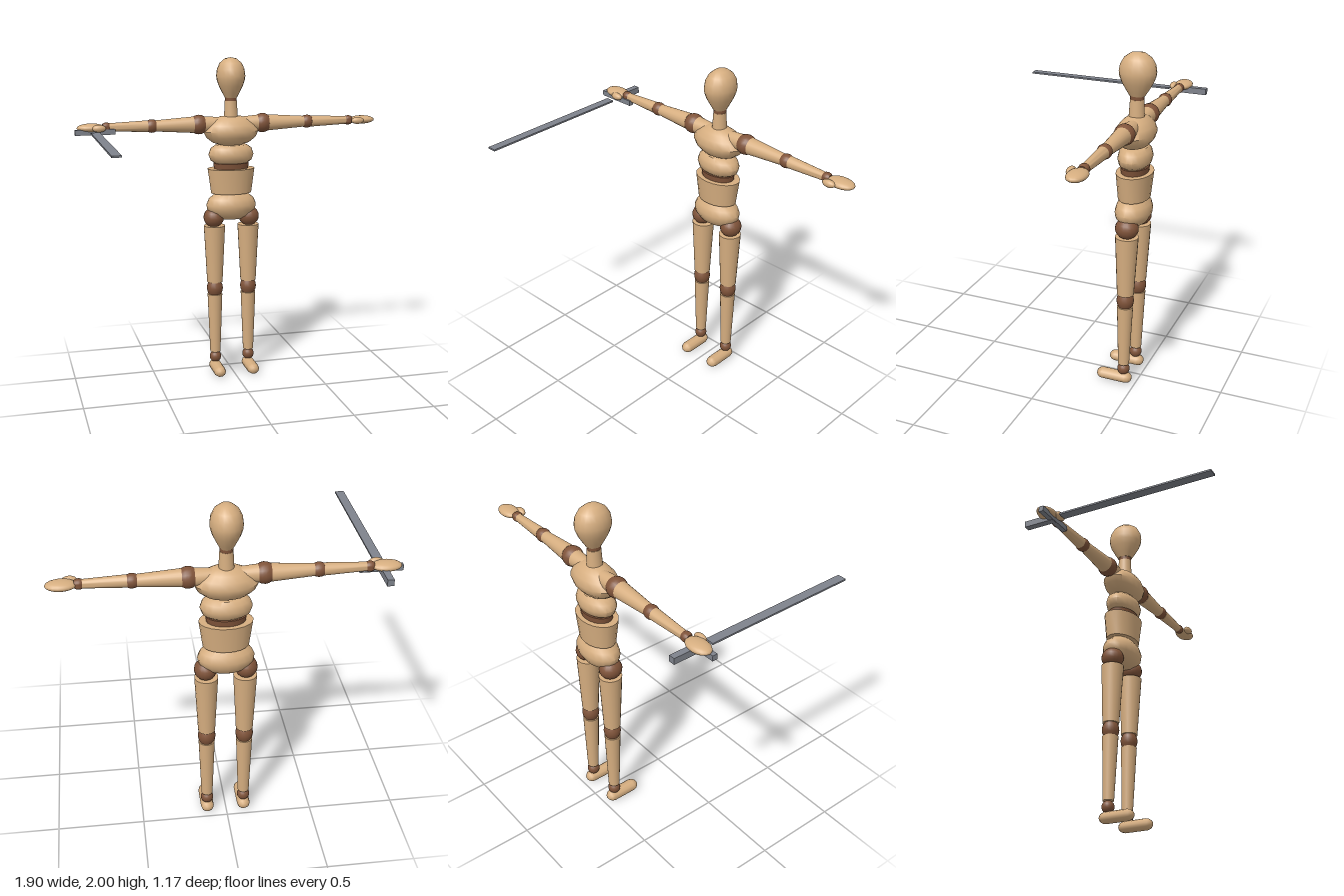
import * as THREE from 'three';
import { toCreasedNormals } from 'three/addons/utils/BufferGeometryUtils.js';

const wood = new THREE.MeshStandardMaterial({ color: 0xd6ae80 });
wood.name = 'light wood';
const joint = new THREE.MeshStandardMaterial({ color: 0x80543a });
joint.name = 'dark wood';
const steel = new THREE.MeshStandardMaterial({ color: 0x7f838c });
steel.name = 'grey steel';

// Turned piece: [radius, height] pairs from bottom to top, depth squashes it in z
function turned(name, material, profile, depth = 1, segments = 20) {
  const points = profile.map(([r, y]) => new THREE.Vector2(r, y));
  const geometry = new THREE.LatheGeometry(points, segments);
  geometry.scale(1, 1, depth);
  const mesh = new THREE.Mesh(toCreasedNormals(geometry, 0.75), material);
  mesh.name = name;
  return mesh;
}

// Closed cone between two heights
const taper = (name, material, y0, r0, y1, r1, depth = 1) =>
  turned(name, material, [[0, y0], [r0, y0], [r1, y1], [0, y1]], depth);

// Rounded barrel between two heights
const barrel = (name, y0, y1, rEnd, rMid) => {
  const m = (y0 + y1) / 2, q = (y1 - y0) * 0.25;
  const r = rEnd + (rMid - rEnd) * 0.75;
  return turned(name, joint,
    [[0, y0], [rEnd, y0], [r, m - q], [rMid, m], [r, m + q], [rEnd, y1], [0, y1]]);
};

function ellipsoid(name, material, rx, ry, rz, x, y, z) {
  const geometry = new THREE.SphereGeometry(1, 18, 12);
  geometry.scale(rx, ry, rz);
  const mesh = new THREE.Mesh(geometry, material);
  mesh.name = name;
  mesh.position.set(x, y, z);
  return mesh;
}

function box(name, w, h, d, x, y, z) {
  const mesh = new THREE.Mesh(new THREE.BoxGeometry(w, h, d), steel);
  mesh.name = name;
  mesh.position.set(x, y, z);
  return mesh;
}

function createTorso() {
  const torso = new THREE.Group();
  torso.name = 'torso';
  torso.add(
    turned('head', wood, [[0, 1.755], [0.037, 1.757], [0.052, 1.785], [0.074, 1.83], [0.085, 1.865],
      [0.088, 1.89], [0.083, 1.93], [0.066, 1.966], [0.036, 1.992], [0, 2]], 1.2),
    taper('neckJoint', joint, 1.735, 0.035, 1.775, 0.037, 1.1),
    taper('neck', wood, 1.62, 0.043, 1.737, 0.037, 1.06),
    turned('chest', wood, [[0, 1.46], [0.06, 1.464], [0.115, 1.482], [0.157, 1.515], [0.174, 1.552],
      [0.153, 1.59], [0.115, 1.62], [0.07, 1.641], [0, 1.646]], 0.635),
    turned('belly', wood, [[0, 1.348], [0.095, 1.35], [0.13, 1.372], [0.143, 1.408],
      [0.13, 1.445], [0.1, 1.466], [0, 1.47]], 0.66),
    taper('waistJoint', joint, 1.3, 0.105, 1.355, 0.113, 0.7),
    taper('abdomen', wood, 1.166, 0.128, 1.32, 0.149, 0.69),
    turned('pelvis', wood, [[0, 0.995], [0.07, 1.001], [0.12, 1.024], [0.153, 1.062], [0.159, 1.093],
      [0.143, 1.13], [0.1, 1.163], [0, 1.17]], 0.64),
  );
  return torso;
}

function createLeg(side) {
  const leg = new THREE.Group();
  leg.name = side > 0 ? 'leftLeg' : 'rightLeg';
  leg.position.x = side * 0.109;
  // Foot: a stubby faceted capsule pointing forward
  const footGeometry = new THREE.CapsuleGeometry(0.037, 0.144, 3, 10);
  footGeometry.rotateX(Math.PI / 2);
  footGeometry.scale(1.04, 0.92, 1);
  const foot = new THREE.Mesh(footGeometry, wood);
  foot.name = 'foot';
  foot.position.set(0, 0.034, 0.057);
  leg.add(
    ellipsoid('hipJoint', joint, 0.064, 0.062, 0.068, side * 0.004, 1.012, 0),
    taper('thigh', wood, 0.595, 0.049, 0.96, 0.067),
    barrel('knee', 0.512, 0.597, 0.038, 0.051),
    taper('shin', wood, 0.13, 0.033, 0.515, 0.047),
    ellipsoid('ankle', joint, 0.037, 0.038, 0.037, 0, 0.095, 0),
    foot,
  );
  return leg;
}

function createArm(side) {
  const arm = new THREE.Group();
  arm.name = side > 0 ? 'leftArm' : 'rightArm';
  arm.position.set(0, 1.596, -0.004);
  // Turned pieces stand along y, then lie down pointing outward
  const limb = new THREE.Group();
  limb.name = 'limb';
  limb.rotation.z = -side * Math.PI / 2;
  limb.add(
    taper('collar', wood, 0.05, 0.04, 0.175, 0.05),
    barrel('shoulder', 0.165, 0.238, 0.048, 0.06),
    taper('upperArm', wood, 0.236, 0.05, 0.468, 0.034),
    barrel('elbow', 0.465, 0.52, 0.033, 0.041),
    taper('forearm', wood, 0.518, 0.035, 0.765, 0.024),
    barrel('wrist', 0.743, 0.79, 0.022, 0.03),
  );
  arm.add(
    limb,
    ellipsoid('hand', wood, 0.084, 0.026, 0.054, side * 0.858, 0, -0.002),
    ellipsoid('thumb', wood, 0.041, 0.022, 0.022, side * 0.814, 0, 0.049),
  );
  return arm;
}

function createSword() {
  const sword = new THREE.Group();
  sword.name = 'sword';
  sword.add(
    box('blade', 0.053, 0.01, 0.935, -0.838, 1.572, 0.1175),
    box('guard', 0.24, 0.032, 0.03, -0.832, 1.572, -0.412),
    box('handle', 0.037, 0.037, 0.185, -0.838, 1.572, -0.4925),
  );
  return sword;
}

export function createModel() {
  const model = new THREE.Group();
  model.name = 'mannequinWithSword';
  const figure = new THREE.Group();
  figure.name = 'figure';
  figure.position.set(0.004, 0, -0.427);
  figure.add(createTorso());
  for (const side of [1, -1]) figure.add(createLeg(side), createArm(side));
  model.add(figure, createSword());
  return model;
}
